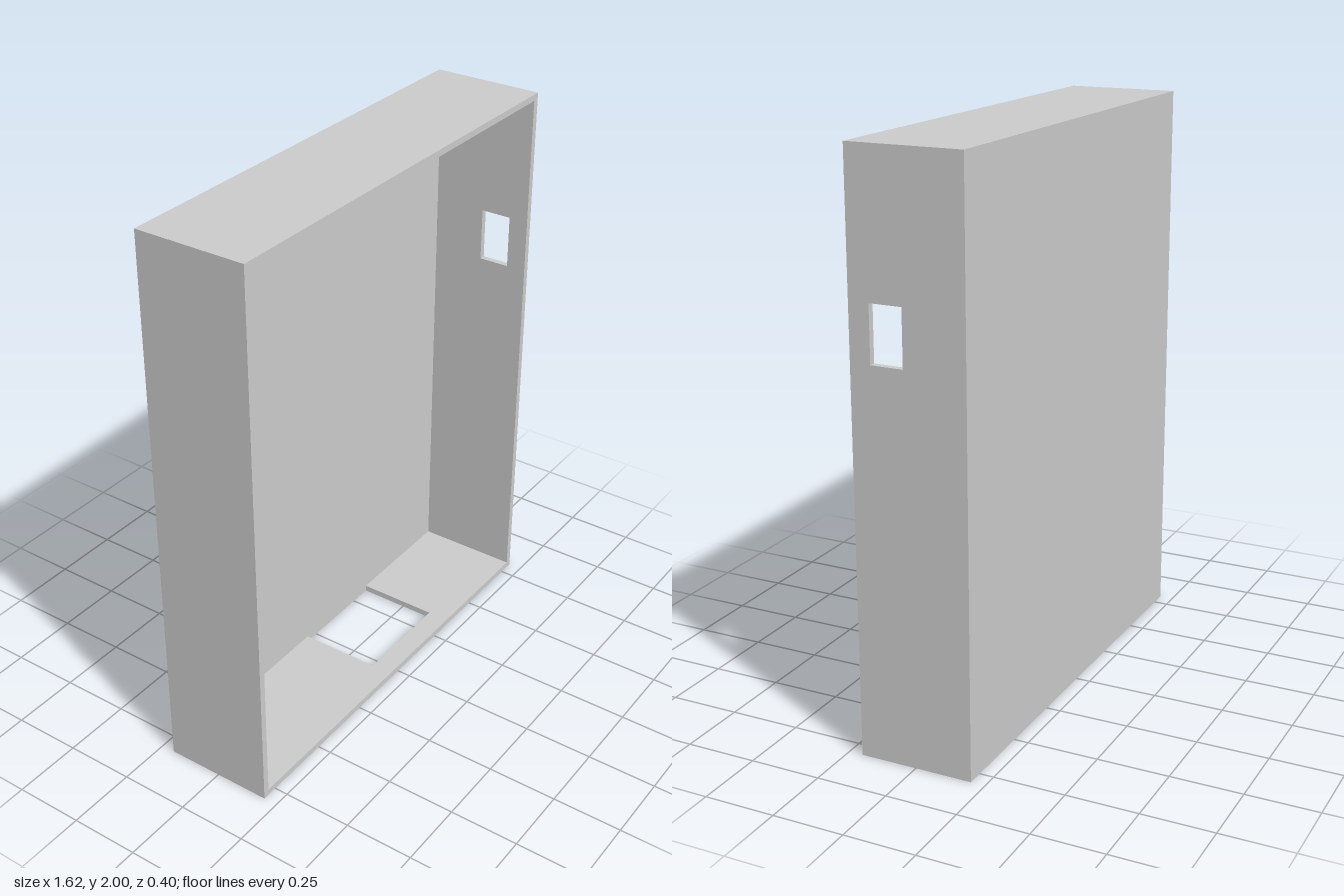
import * as THREE from 'three';

const W = 1.62, H = 2, D = 0.4, T = 0.023; // outer size and wall thickness
const X = W / 2, Z = D / 2;

const material = new THREE.MeshStandardMaterial({ color: 0xcccccc, flatShading: true });

const rect = (x0, y0, x1, y1, Type = THREE.Shape) =>
  new Type([[x0, y0], [x1, y0], [x1, y1], [x0, y1]].map(p => new THREE.Vector2(...p)));

const slab = shape => new THREE.ExtrudeGeometry(shape, { depth: T, bevelEnabled: false });

export function createModel() {
  const group = new THREE.Group();
  const add = (name, geometry) => {
    const mesh = new THREE.Mesh(geometry, material);
    mesh.name = name;
    group.add(mesh);
  };

  // Back panel, fitted between the side walls
  add('backPanel', slab(rect(-X + T, 0, X - T, H)).translate(0, 0, -Z));

  // Side walls, drawn in z and y; the left one has a small window
  const leftShape = rect(-Z, 0, Z, H);
  leftShape.holes.push(rect(0.015, 1.33, 0.128, 1.522, THREE.Path));
  add('leftWall', slab(leftShape).rotateY(-Math.PI / 2).translate(X, 0, 0));
  add('rightWall', slab(rect(-Z, 0, Z, H)).rotateY(-Math.PI / 2).translate(-X + T, 0, 0));

  // Top and bottom walls, drawn in x and z, butting against the back panel
  const back = -Z + T;
  add('topWall', slab(rect(-X + T, back, X - T, Z)).rotateX(Math.PI / 2).translate(0, H, 0));

  // The floor opening reaches all the way to the back panel
  const floor = new THREE.Shape([
    [-X + T, back], [-0.053, back], [-0.053, 0.122], [0.333, 0.122],
    [0.333, back], [X - T, back], [X - T, Z], [-X + T, Z],
  ].map(p => new THREE.Vector2(...p)));
  add('bottomWall', slab(floor).rotateX(Math.PI / 2).translate(0, T, 0));

  return group;
}
